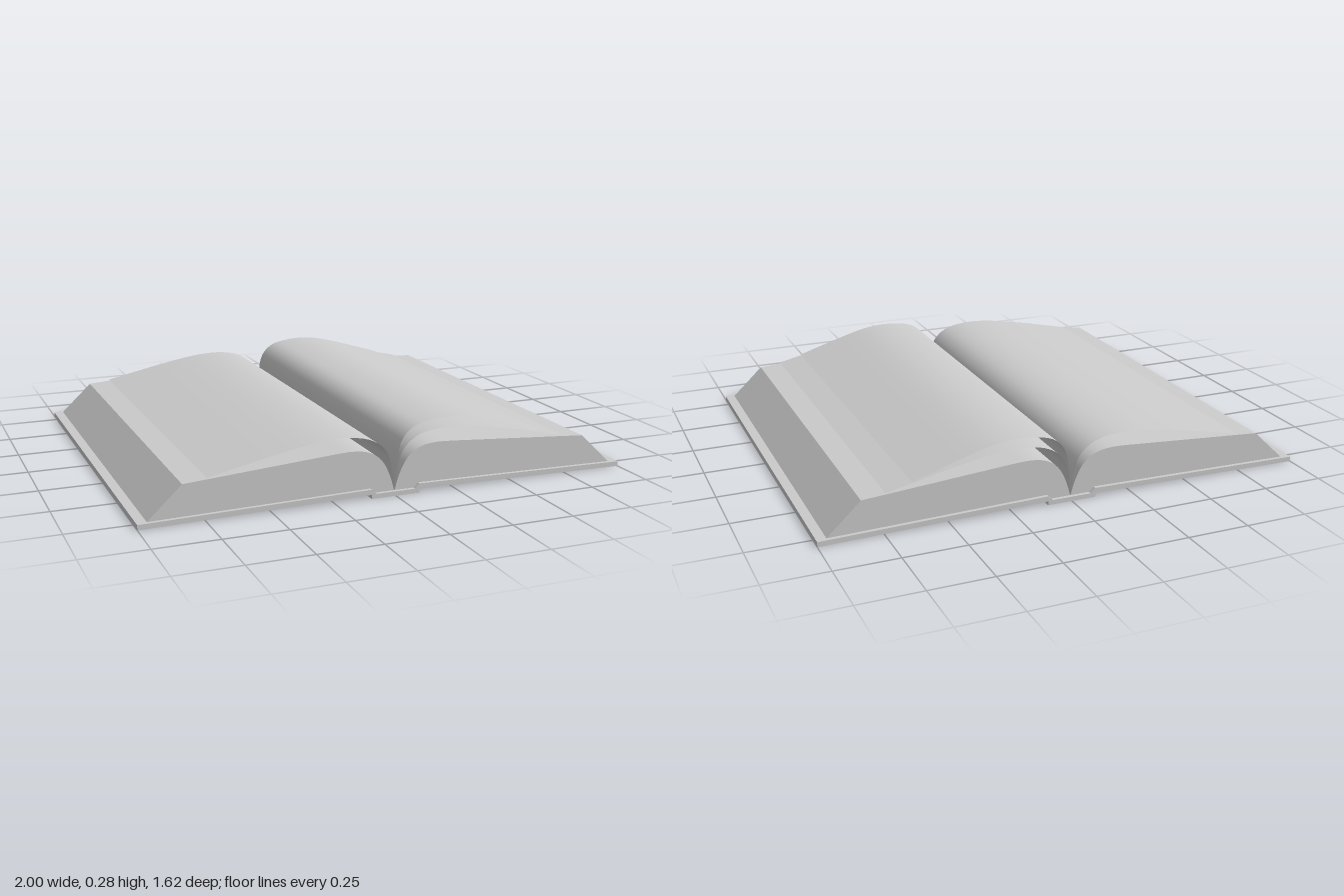
import * as THREE from 'three';
import { toCreasedNormals } from 'three/addons/utils/BufferGeometryUtils.js';

const COVER_DEPTH = 1.62;
const PAGE_DEPTH = 1.59;

const material = new THREE.MeshStandardMaterial({ color: 0xcccccc });
const paper = new THREE.MeshStandardMaterial({ color: 0xcccccc, side: THREE.DoubleSide });

const vectors = (points) => points.map(([x, y]) => new THREE.Vector2(x, y));
const mirrored = (points) => points.map(([x, y]) => [-x, y]);

// Solid cross-section in the xy plane, centred along z
function solid(name, outline, depth) {
  const geometry = new THREE.ExtrudeGeometry(new THREE.Shape(outline), { depth, bevelEnabled: false });
  geometry.translate(0, 0, -depth / 2);
  const mesh = new THREE.Mesh(toCreasedNormals(geometry, 0.4), material);
  mesh.name = name;
  return mesh;
}

// Thin curved sheet: a smooth profile swept along z
function sheet(name, points) {
  const steps = 32;
  const curve = new THREE.SplineCurve(vectors(points));
  const geometry = new THREE.PlaneGeometry(1, PAGE_DEPTH, steps, 1);
  const position = geometry.attributes.position;
  for (let i = 0; i < position.count; i++) {
    const p = curve.getPoint((i % (steps + 1)) / steps);
    position.setXYZ(i, p.x, p.y, -position.getY(i));
  }
  geometry.computeVertexNormals();
  const mesh = new THREE.Mesh(geometry, paper);
  mesh.name = name;
  return mesh;
}

export function createModel() {
  const book = new THREE.Group();
  book.name = 'openBook';

  // Cover boards and the stepped spine form one cross-section
  const coverHalf = [
    [0.1, 0], [0.1, 0.016], [1, 0], [1, 0.02], [0.1, 0.037], [0.08, 0.018],
  ];
  book.add(solid('cover', vectors([...coverHalf, ...mirrored(coverHalf).reverse()]), COVER_DEPTH));

  // Page blocks: gutter curve, gently sloping top, slanted fore edge
  const gutter = new THREE.SplineCurve(vectors([
    [0.001, 0.018], [0.018, 0.075], [0.045, 0.13], [0.08, 0.165],
    [0.125, 0.184], [0.18, 0.19], [0.25, 0.187],
  ])).getPoints(28).map((p) => [p.x, p.y]);
  const block = [...gutter, [0.83, 0.145], [0.962, 0.021], [0.1, 0.037], [0.08, 0.018]];
  book.add(solid('leftPageBlock', vectors(block), PAGE_DEPTH));
  book.add(solid('rightPageBlock', vectors(mirrored(block)), PAGE_DEPTH));

  // Loose pages arching above the blocks
  const lowPage = [
    [0.002, 0.025], [0.012, 0.11], [0.035, 0.175], [0.09, 0.222], [0.18, 0.244],
    [0.3, 0.242], [0.45, 0.218], [0.6, 0.187], [0.738, 0.157],
  ];
  const highPage = [
    [0.002, 0.025], [0.01, 0.14], [0.03, 0.215], [0.08, 0.262], [0.16, 0.281],
    [0.25, 0.284], [0.35, 0.269], [0.5, 0.226], [0.638, 0.183],
  ];
  book.add(sheet('leftLowerLoosePage', lowPage));
  book.add(sheet('leftUpperLoosePage', highPage));
  book.add(sheet('rightLoosePage', mirrored(lowPage).reverse()));

  return book;
}
